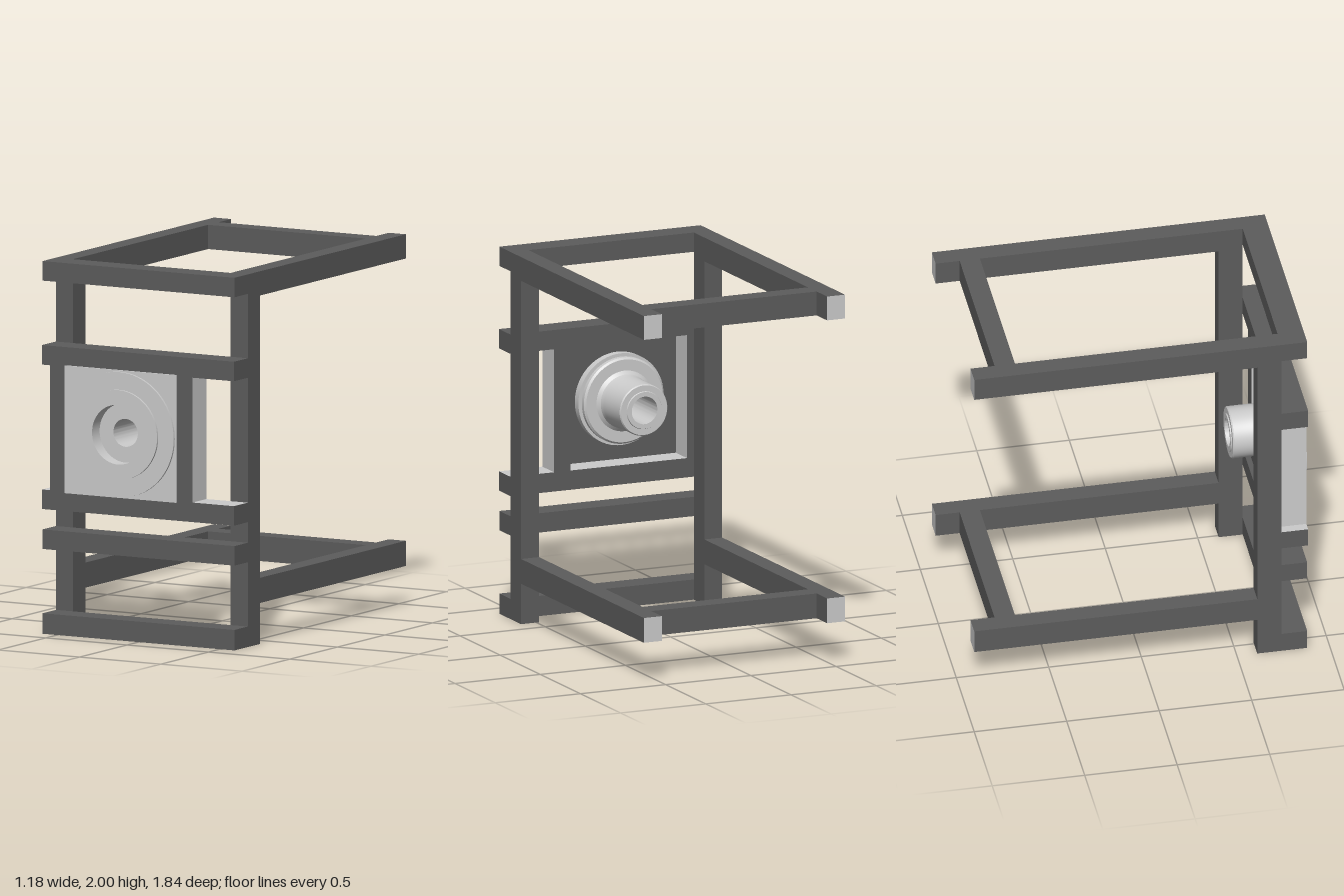
import * as THREE from 'three';
import { toCreasedNormals } from 'three/addons/utils/BufferGeometryUtils.js';

export function createModel() {
  const model = new THREE.Group();
  const dark = new THREE.MeshStandardMaterial({ color: 0x5c5c5c });
  const light = new THREE.MeshStandardMaterial({ color: 0xcccccc });

  // Square bar given by its limits; bareFaces lists unpainted sides (+x -x +y -y +z -z = 0..5)
  function bar(name, [x0, x1], [y0, y1], [z0, z1], bareFaces = []) {
    const materials = [0, 1, 2, 3, 4, 5].map(i => (bareFaces.includes(i) ? light : dark));
    const mesh = new THREE.Mesh(new THREE.BoxGeometry(x1 - x0, y1 - y0, z1 - z0), materials);
    mesh.position.set((x0 + x1) / 2, (y0 + y1) / 2, (z0 + z1) / 2);
    mesh.name = name;
    model.add(mesh);
  }

  const W = 0.59, IN = 0.485;
  const full = [-W, W], postZ = [0.61, 0.74], frontZ = [0.74, 0.88], mountZ = [0.74, 0.885];

  // Posts and long rails, one set per side
  for (const [side, x] of [['left', [IN, W]], ['right', [-W, -IN]]]) {
    bar(side + 'Post', x, [0, 2], postZ);
    bar(side + 'TopRail', x, [1.87, 2], [-0.92, 0.61], [5]);
    bar(side + 'LowerRail', x, [0.22, 0.355], [-0.92, 0.61], [5]);
  }

  // Rear cross bars
  bar('topRearCrossBar', [-IN, IN], [1.87, 2], [-0.79, -0.68]);
  bar('lowerRearCrossBar', [-IN, IN], [0.22, 0.355], [-0.79, -0.68]);

  // Front cross bars
  bar('footCrossBar', full, [0, 0.11], frontZ);
  bar('lowerCrossBar', full, [0.455, 0.56], frontZ);
  bar('mountLowerBar', full, [0.67, 0.775], mountZ, [2]);
  bar('mountUpperBar', full, [1.445, 1.55], mountZ, [3]);
  bar('topFrontCrossBar', full, [1.895, 2], frontZ);

  // Uprights on both sides of the bearing plate
  bar('mountRightUpright', [-0.54, -0.445], [0.775, 1.445], mountZ, [0, 1]);
  bar('mountLeftUpright', [0.24, 0.335], [0.775, 1.445], mountZ, [0, 1]);

  // Square plate with a round opening, and its painted back
  const CX = -0.1025, CY = 1.11, H = 0.3425;
  const square = new THREE.Shape([[-H, -H], [H, -H], [H, H], [-H, H]].map(p => new THREE.Vector2(...p)));
  square.holes.push(new THREE.Path().absarc(0, 0, 0.2, 0, Math.PI * 2, true));
  function plate(name, z, depth, material) {
    const geometry = new THREE.ExtrudeGeometry(square, { depth, bevelEnabled: false, curveSegments: 48 });
    const mesh = new THREE.Mesh(geometry, material);
    mesh.position.set(CX, CY, z);
    mesh.name = name;
    model.add(mesh);
  }
  plate('bearingPlate', 0.885, 0.011, light);
  plate('plateBack', 0.88, 0.005, dark);

  // Turned hub: [radius, z], up the outside from the rear tip and back through the bore
  const profile = [
    [0.075, 0.542], [0.1, 0.542], [0.103, 0.548], [0.135, 0.548], [0.14, 0.555],
    [0.14, 0.75], [0.147, 0.775], [0.165, 0.79], [0.225, 0.79], [0.235, 0.8],
    [0.235, 0.825], [0.225, 0.825], [0.225, 0.835], [0.25, 0.835], [0.25, 0.89],
    [0.335, 0.89], [0.335, 0.908], [0.24, 0.908], [0.24, 0.92], [0.16, 0.92],
    [0.16, 0.84], [0.075, 0.84], [0.075, 0.542],
  ].map(p => new THREE.Vector2(...p));
  const hub = new THREE.Mesh(toCreasedNormals(new THREE.LatheGeometry(profile, 72), 0.5), light);
  hub.rotation.x = Math.PI / 2;
  hub.position.set(CX, CY, 0);
  hub.name = 'bearingHub';
  model.add(hub);

  return model;
}
